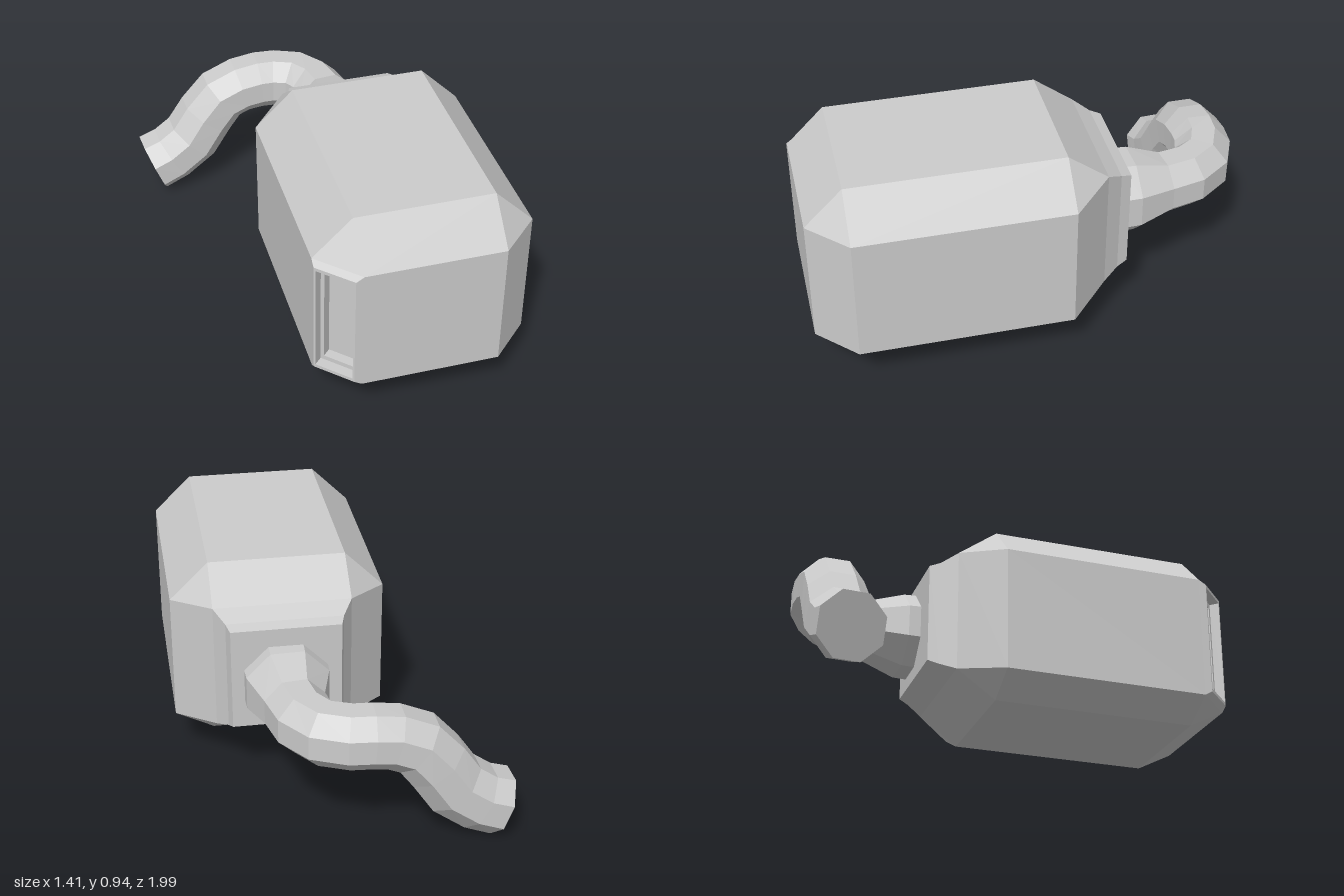
import * as THREE from 'three';

const V3 = (x, y, z) => new THREE.Vector3(x, y, z);
const SIGNS = [-1, 1];

// Flat-shaded mesh from a list of convex polygons
function polyMesh(name, polys) {
  const pts = [];
  for (const p of polys)
    for (let i = 1; i < p.length - 1; i++) pts.push(p[0], p[i], p[i + 1]);
  const geo = new THREE.BufferGeometry().setFromPoints(pts);
  geo.computeVertexNormals();
  const mesh = new THREE.Mesh(geo, new THREE.MeshStandardMaterial({ color: 0xcccccc, flatShading: true }));
  mesh.name = name;
  return mesh;
}

// Skin over rings that run counter-clockwise about the direction of travel
function loft(rings) {
  const polys = [];
  for (let r = 0; r < rings.length - 1; r++) {
    const a = rings[r], b = rings[r + 1];
    for (let i = 0; i < a.length; i++) {
      const j = (i + 1) % a.length;
      polys.push([a[i], a[j], b[j], b[i]]);
    }
  }
  polys.push(rings[rings.length - 1]);
  return polys;
}

// Turns a polygon so that it faces away from a centre
function outward(p, c) {
  const n = p[1].clone().sub(p[0]).cross(p[2].clone().sub(p[0]));
  return n.dot(p[0].clone().sub(c)) < 0 ? p.reverse() : p;
}

// Body corner: s holds the signs of x, y, z; axis is the panel it belongs to
function corner(s, axis) {
  const x = s[0] * (axis === 0 ? 0.462 : 0.295);
  let y = s[1] > 0 ? 0.785 : 0.215;
  if (axis === 1) y = s[1] > 0 ? 0.95 : 0.13;
  if (axis === 2 && s[2] < 0) y = s[1] > 0 ? 0.82 : 0.255;
  const z = axis === 2 ? (s[2] > 0 ? 0.972 : -0.29) : (s[2] > 0 ? 0.808 : -0.115);
  return V3(x, y, z);
}

function bodyShell() {
  const centre = V3(0, 0.54, 0.35), polys = [];
  const at = (axis, sa, b, sb, c, sc) => {
    const s = [];
    s[axis] = sa; s[b] = sb; s[c] = sc;
    return s;
  };
  for (let a = 0; a < 3; a++) {
    const b = (a + 1) % 3, c = (a + 2) % 3;
    for (const sa of SIGNS) {
      // main panels; the rear one is left open for the neck
      if (!(a === 2 && sa < 0))
        polys.push([[-1, -1], [1, -1], [1, 1], [-1, 1]].map(([p, q]) => corner(at(a, sa, b, p, c, q), a)));
      // edge chamfers; one upright is left open for the vent
      for (const sb of SIGNS) {
        if (a === 2 && sa > 0 && sb < 0) continue;
        const lo = at(a, sa, b, sb, c, -1), hi = at(a, sa, b, sb, c, 1);
        polys.push([corner(lo, a), corner(hi, a), corner(hi, b), corner(lo, b)]);
      }
    }
  }
  for (const x of SIGNS) for (const y of SIGNS) for (const z of SIGNS)
    polys.push([0, 1, 2].map(k => corner([x, y, z], k)));
  return polyMesh('bodyShell', polys.map(p => outward(p, centre)));
}

// Raised frame and stepped recess on the front corner
function vent() {
  const p = corner([-1, 1, 1], 0), q = corner([-1, 1, 1], 2);
  const u = q.clone().sub(p).normalize(), n = V3(-u.z, 0, u.x);
  const mid = p.clone().add(q).multiplyScalar(0.5).setY(0.5);
  const steps = [ // half width, half height, depth along the normal
    [p.distanceTo(q) / 2, 0.285, 0], [0.094, 0.265, 0.024], [0.086, 0.25, 0.024],
    [0.086, 0.25, -0.02], [0.07, 0.23, -0.02], [0.07, 0.23, -0.062],
  ];
  return polyMesh('vent', loft(steps.map(([hu, hv, d]) =>
    [[-1, -1], [1, -1], [1, 1], [-1, 1]].map(([a, b]) =>
      mid.clone().addScaledVector(u, a * hu).addScaledVector(n, d).setY(0.5 + b * hv)))));
}

// Tapered rectangular neck at the rear
function neck() {
  const rows = [ // half width, bottom, top, z
    [0.295, 0.255, 0.82, -0.29], [0.25, 0.287, 0.78, -0.36], [0.235, 0.305, 0.765, -0.407],
  ];
  return polyMesh('neck', loft(rows.map(([w, lo, hi, z]) =>
    [V3(w, lo, z), V3(-w, lo, z), V3(-w, hi, z), V3(w, hi, z)])));
}

// Octagonal hose, bending sideways and then down
function hose() {
  const path = [ // x, y, z, distance from the centre to a flat
    [0.187, 0.515, -0.422, 0.177], [0.185, 0.515, -0.48, 0.175], [0.172, 0.517, -0.63, 0.128],
    [0.143, 0.517, -0.745, 0.126], [0.075, 0.517, -0.835, 0.125], [-0.03, 0.517, -0.873, 0.125],
    [-0.11, 0.517, -0.875, 0.125], [-0.2, 0.505, -0.87, 0.125], [-0.295, 0.465, -0.865, 0.127],
    [-0.375, 0.37, -0.86, 0.13], [-0.455, 0.25, -0.853, 0.133], [-0.56, 0.172, -0.845, 0.133],
    [-0.655, 0.135, -0.835, 0.135],
  ];
  const pts = path.map(p => V3(p[0], p[1], p[2]));
  const rings = pts.map((c, i) => {
    const t = pts[Math.min(i + 1, pts.length - 1)].clone().sub(pts[Math.max(i - 1, 0)]).normalize();
    const side = V3(0, 1, 0).cross(t).normalize();
    const up = t.clone().cross(side);
    const r = path[i][3] / Math.cos(Math.PI / 8);
    return Array.from({ length: 8 }, (_, k) => {
      const a = (k + 0.5) * Math.PI / 4;
      return c.clone().addScaledVector(side, r * Math.cos(a)).addScaledVector(up, r * Math.sin(a));
    });
  });
  return polyMesh('hose', [...loft(rings), [...rings[0]].reverse()]);
}

export function createModel() {
  const model = new THREE.Group();
  model.name = 'tank';
  const body = new THREE.Group();
  body.name = 'body';
  body.add(bodyShell(), vent(), neck());
  body.position.x = 0.2;
  body.rotation.y = 0.043;
  model.add(body, hose());
  return model;
}
